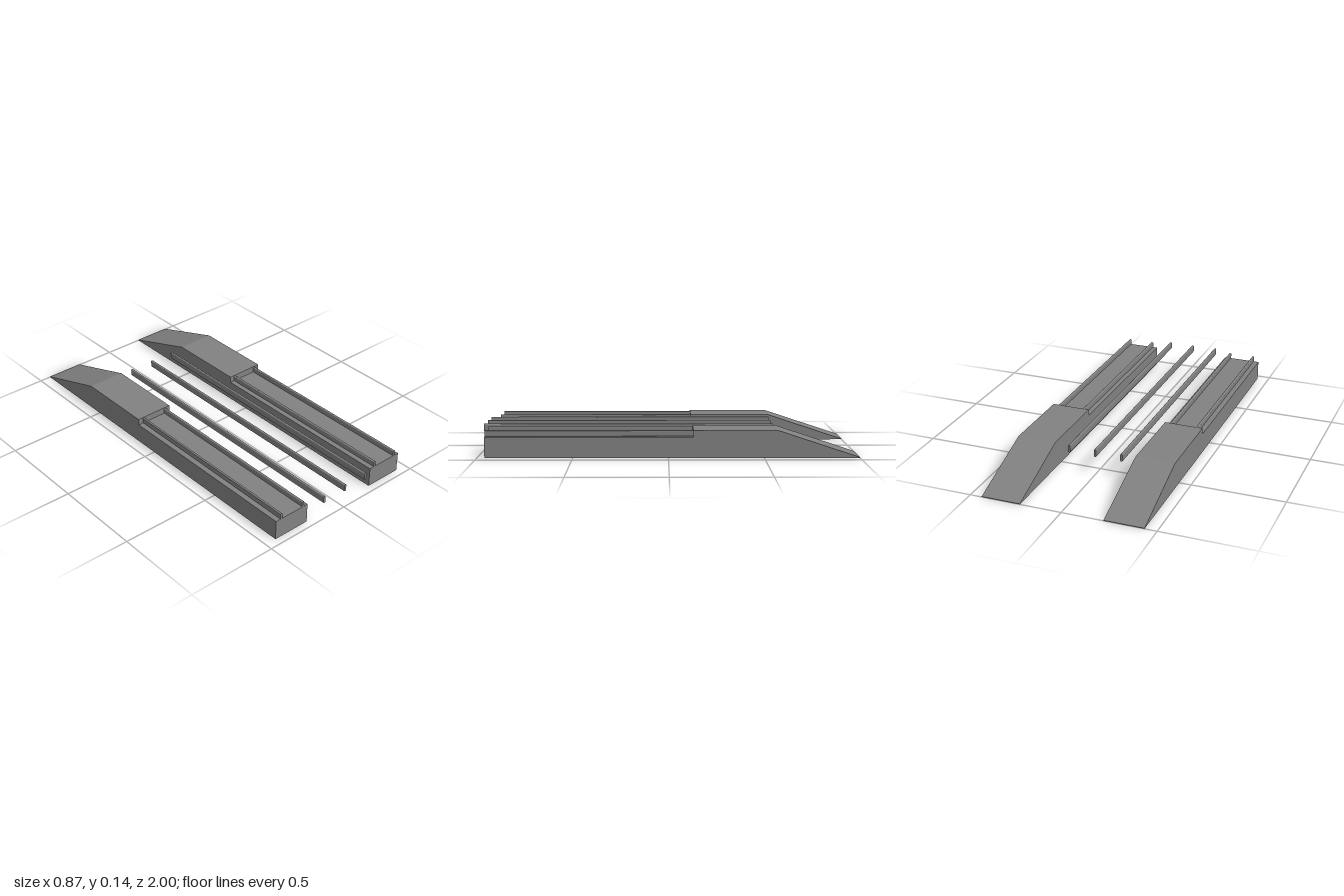
import * as THREE from 'three';

const material = new THREE.MeshStandardMaterial({ color: 0x828282, flatShading: true });

// Rail: upright bar with rounded corners, running along z
function makeRail(name, x, y0, y1, zBack, zFront) {
  const w = 0.0065, c = 0.005;
  const s = new THREE.Shape();
  s.moveTo(-w + c, y0);
  s.lineTo(w - c, y0);
  s.quadraticCurveTo(w, y0, w, y0 + c);
  s.lineTo(w, y1 - c);
  s.quadraticCurveTo(w, y1, w - c, y1);
  s.lineTo(-w + c, y1);
  s.quadraticCurveTo(-w, y1, -w, y1 - c);
  s.lineTo(-w, y0 + c);
  s.quadraticCurveTo(-w, y0, -w + c, y0);
  const geometry = new THREE.ExtrudeGeometry(s, { depth: zFront - zBack, bevelEnabled: false, curveSegments: 3 });
  const rail = new THREE.Mesh(geometry, material);
  rail.name = name;
  rail.position.set(x, 0, zBack);
  return rail;
}

// Ramp: side profile (z, y) extruded across its width
function makeRamp(xCentre) {
  const width = 0.212;
  const profile = [[0.96, 0], [0.96, 0.11], [-0.13, 0.11], [-0.13, 0.145], [-0.57, 0.145], [-1, 0.003], [-1, 0]];
  const s = new THREE.Shape(profile.map(([z, y]) => new THREE.Vector2(-z, y)));
  const geometry = new THREE.ExtrudeGeometry(s, { depth: width, bevelEnabled: false });
  geometry.translate(0, 0, -width / 2);
  geometry.rotateY(Math.PI / 2);
  const ramp = new THREE.Mesh(geometry, material);
  ramp.name = 'rampBody';
  ramp.position.x = xCentre;
  return ramp;
}

export function createModel() {
  const model = new THREE.Group();
  model.name = 'rampsAndRails';

  // Two mirrored ramps, each with a pair of rails on its lowered deck
  for (const side of [-1, 1]) {
    const ramp = new THREE.Group();
    ramp.name = side > 0 ? 'leftRamp' : 'rightRamp';
    ramp.add(makeRamp(side * 0.33));
    ramp.add(makeRail('innerDeckRail', side * 0.256, 0.11, 0.142, -0.13, 0.96));
    ramp.add(makeRail('outerDeckRail', side * 0.402, 0.11, 0.142, -0.13, 0.96));
    model.add(ramp);
  }

  // Three free rails between the ramps
  for (const [name, x] of [['rightRail', -0.146], ['centreRail', 0], ['leftRail', 0.146]]) {
    model.add(makeRail(name, x, 0.102, 0.142, -0.57, 1));
  }
  return model;
}
